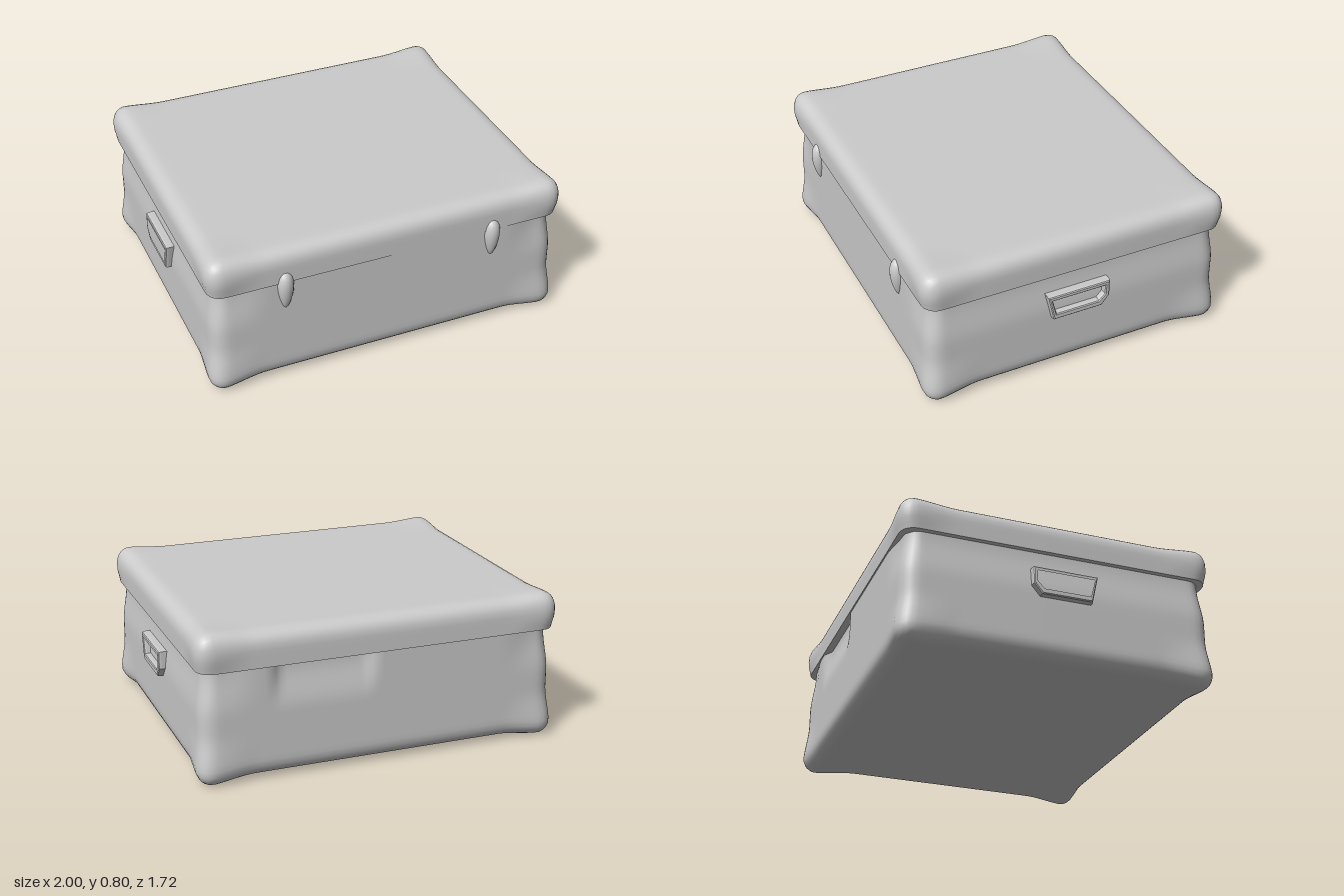
import * as THREE from 'three';
import { toCreasedNormals } from 'three/addons/utils/BufferGeometryUtils.js';

const step = THREE.MathUtils.smoothstep;
const MID_Z = -0.016;

// Rounded box between two corners, finely divided, each vertex then moved by a rule
function softBox(min, max, radius, rule) {
  const lo = new THREE.Vector3(...min);
  const hi = new THREE.Vector3(...max);
  const size = hi.clone().sub(lo);
  const g = new THREE.BoxGeometry(size.x, size.y, size.z,
    ...size.toArray().map((s) => Math.round(s / 0.03)));
  g.translate(...lo.clone().add(hi).multiplyScalar(0.5).toArray());
  lo.addScalar(radius);
  hi.subScalar(radius);
  const pos = g.attributes.position;
  const p = new THREE.Vector3();
  for (let i = 0; i < pos.count; i++) {
    p.fromBufferAttribute(pos, i);
    const core = p.clone().clamp(lo, hi);
    p.sub(core).setLength(radius).add(core);
    rule(p);
    pos.setXYZ(i, p.x, p.y, p.z);
  }
  return toCreasedNormals(g, 0.7);
}

// Soft swelling towards the corners: 0 along the sides, 1 at a corner
const corner = (p) =>
  step(Math.abs(p.x), 0.68, 0.92) * step(Math.abs(p.z - MID_Z), 0.54, 0.78);

// Body: swollen lower corners, hollowed below the lid rim
function shapeBody(p) {
  const ax = Math.abs(p.x);
  const swell = corner(p) * (1 - step(p.y, 0.1, 0.28));
  const hollow = 0.022 * step(p.y, 0.38, 0.61);
  const hinge = step(p.x, 0.03, 0.1) * (1 - step(p.x, 0.54, 0.61));
  const ends = step(ax, 0.66, 0.88);
  const inX = hollow * step(ax, 0.84, 0.95);
  const inZ = p.z > 0
    ? hollow * ends * step(p.z, 0.68, 0.8)
    : hollow * Math.max(ends, 1.5 * hinge) * step(-p.z, 0.71, 0.83);
  p.x += Math.sign(p.x) * (0.02 * swell - inX);
  p.z += Math.sign(p.z) * (0.02 * swell - inZ);
  p.y -= 0.02 * swell;
}

// Lid: swollen upper corners, cut flat along its lower rim
function shapeLid(p) {
  p.y = Math.max(p.y, 0.62);
  const swell = corner(p) * step(p.y, 0.61, 0.7);
  p.x += Math.sign(p.x) * 0.012 * swell;
  p.z += Math.sign(p.z) * 0.014 * swell;
  p.y += 0.012 * swell * step(p.y, 0.7, 0.8);
}

export function createModel() {
  const group = new THREE.Group();
  const material = new THREE.MeshStandardMaterial({ color: 0xcccccc });

  const add = (name, geometry) => {
    const mesh = new THREE.Mesh(geometry, material);
    mesh.name = name;
    group.add(mesh);
    return mesh;
  };

  add('body', softBox([-0.966, 0.03, -0.845], [0.966, 0.76, 0.815], 0.085, shapeBody));
  add('lid', softBox([-0.972, 0.4, -0.852], [0.972, 0.804, 0.82], 0.08, shapeLid));

  // Front latches: drop shapes narrowing downwards
  for (const sx of [-1, 1]) {
    const drop = new THREE.SphereGeometry(1, 16, 12);
    const p = drop.attributes.position;
    for (let i = 0; i < p.count; i++) {
      const y = p.getY(i);
      const taper = 0.75 + 0.25 * y;
      p.setXYZ(i, p.getX(i) * taper * 0.056, y * 0.11, p.getZ(i) * taper * 0.056);
    }
    drop.computeVertexNormals();
    add('latch', drop).position.set(sx * 0.577, 0.57, 0.81);
  }

  // Side handles: thin open frames with a slanted rear lower corner
  const outer = [[-0.165, 0.505], [-0.135, 0.37], [0.13, 0.37], [0.17, 0.42], [0.17, 0.505]];
  const inner = [[-0.155, 0.49], [-0.13, 0.392], [0.12, 0.392], [0.157, 0.43], [0.157, 0.49]];
  for (const sx of [-1, 1]) {
    const outline = (points) => points.map(([u, y]) => new THREE.Vector2(u * sx, y));
    const shape = new THREE.Shape(outline(outer));
    shape.holes.push(new THREE.Path(outline(inner)));
    const frame = new THREE.ExtrudeGeometry(shape, {
      depth: 0.07, bevelEnabled: true, bevelThickness: 0.015, bevelSize: 0.008, bevelSegments: 2,
    });
    const handle = add('sideHandle', frame);
    handle.rotation.y = sx * Math.PI / 2;
    handle.position.x = sx * 0.915;
  }

  return group;
}
